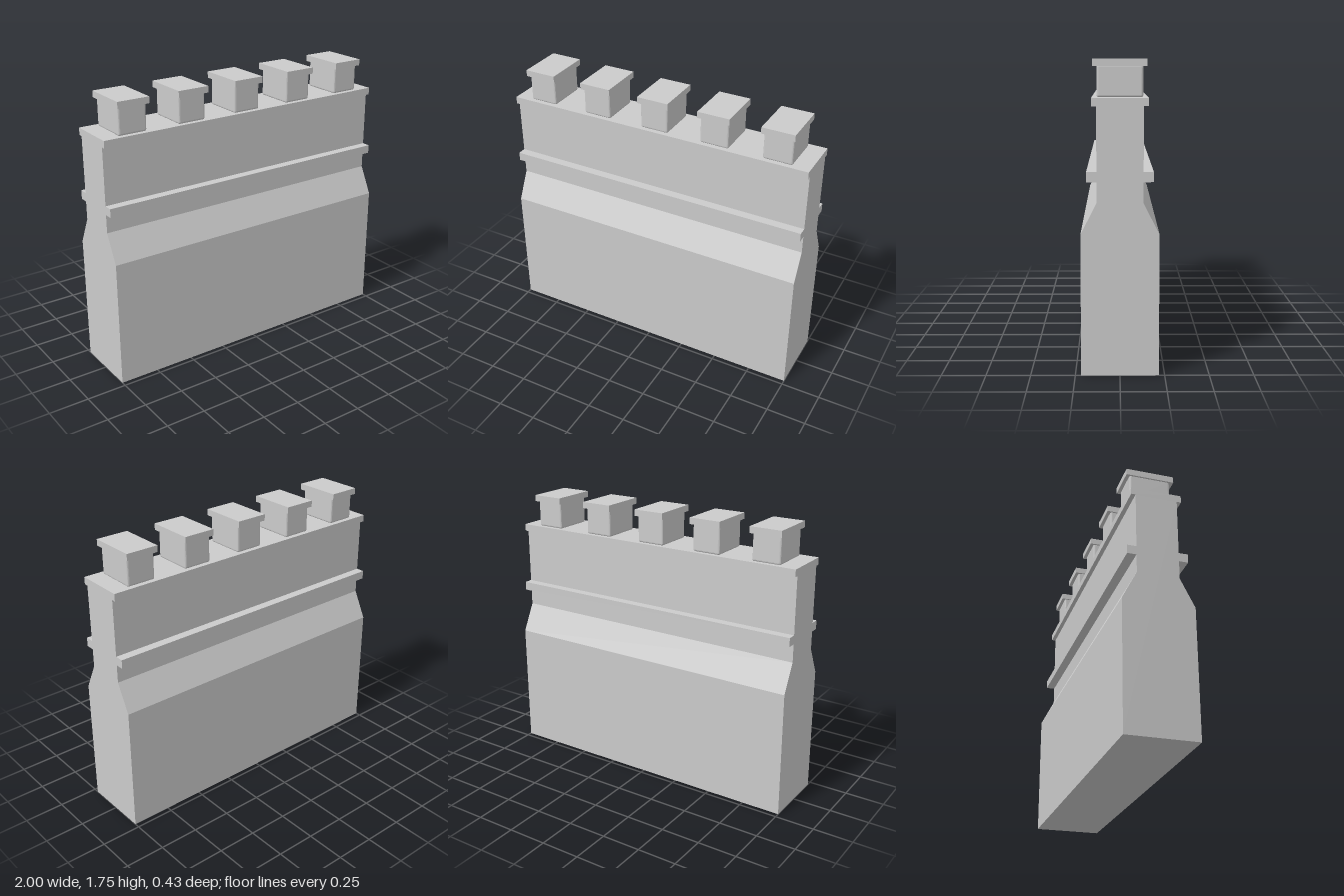
import * as THREE from 'three';
import { RoundedBoxGeometry } from 'three/addons/geometries/RoundedBoxGeometry.js';

const LENGTH = 2;

export function createModel() {
  const model = new THREE.Group();
  model.name = 'battlementWall';
  const material = new THREE.MeshStandardMaterial({ color: 0xcccccc, flatShading: true });

  const add = (name, geometry, x, y, z, parent = model) => {
    const mesh = new THREE.Mesh(geometry, material);
    mesh.name = name;
    mesh.position.set(x, y, z);
    parent.add(mesh);
    return mesh;
  };
  // Box placed by its bottom and top heights
  const slab = (name, w, y0, y1, d, x = 0, z = 0, parent = model) =>
    add(name, new THREE.BoxGeometry(w, y1 - y0, d), x, (y0 + y1) / 2, z, parent);

  // Wall: thick base sloping in to a thinner upper part, extruded along x
  const half = [[0.217, 0], [0.217, 0.8], [0.128, 0.975], [0.128, 1.5]];
  const outline = [...half, ...half.map(([z, y]) => [-z, y]).reverse()];
  const profile = new THREE.Shape(outline.map(([z, y]) => new THREE.Vector2(z, y)));
  const wall = new THREE.ExtrudeGeometry(profile, { depth: LENGTH, bevelEnabled: false });
  wall.translate(0, 0, -LENGTH / 2).rotateY(Math.PI / 2);
  add('wall', wall, 0, 0, 0);

  // String course along both faces
  for (const side of [1, -1]) {
    slab(side > 0 ? 'frontLedge' : 'backLedge', LENGTH, 1.09, 1.145, 0.056, 0, side * 0.156);
  }

  // Coping on top of the wall
  slab('coping', LENGTH, 1.5, 1.545, 0.31);

  // Five merlons with softened edges and overhanging caps
  for (let i = -2; i <= 2; i++) {
    const merlon = new THREE.Group();
    merlon.name = 'merlon';
    merlon.position.x = i * 0.4;
    model.add(merlon);
    add('merlonBlock', new RoundedBoxGeometry(0.184, 0.18, 0.256, 2, 0.012), 0, 1.633, 0, merlon);
    slab('merlonCap', 0.205, 1.712, 1.752, 0.3, 0, 0, merlon);
  }
  return model;
}
